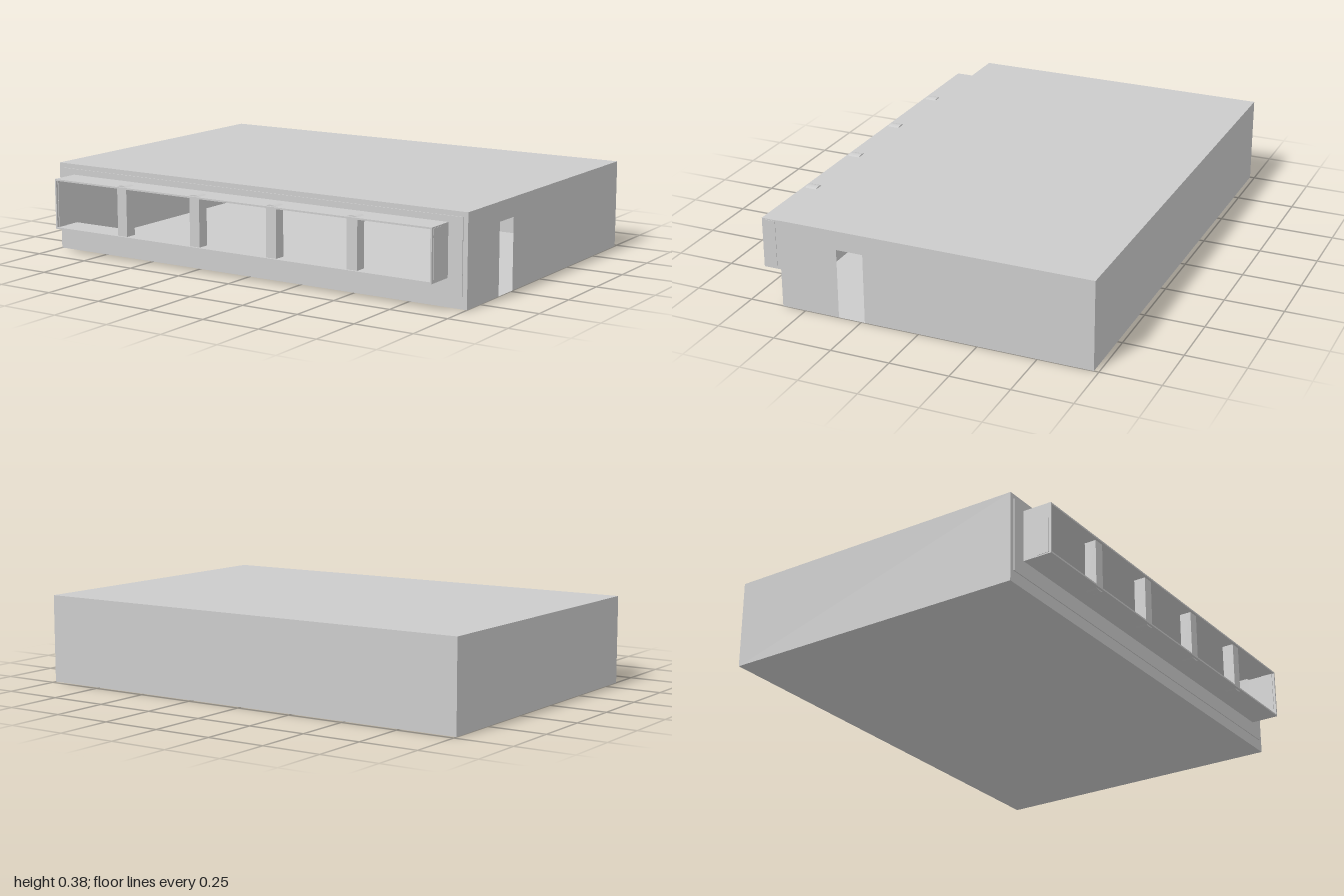
import * as THREE from 'three';

export function createModel() {
  const group = new THREE.Group();
  const mat = new THREE.MeshStandardMaterial({ color: 0xcccccc, side: THREE.DoubleSide, flatShading: true });
  const H = 0.375, ZB = -0.73, ZF = 0.603, D = ZF - ZB, ZC = (ZF + ZB) / 2;

  const add = (name, geo, x = 0, y = 0, z = 0) => {
    const m = new THREE.Mesh(geo, mat);
    m.name = name;
    m.position.set(x, y, z);
    group.add(m);
    return m;
  };
  const box = (name, w, h, d, x, y, z) => add(name, new THREE.BoxGeometry(w, h, d), x, y, z);
  const rect = (Type, x0, y0, x1, y1) => {
    const p = new Type();
    p.moveTo(x0, y0);
    p.lineTo(x1, y0);
    p.lineTo(x1, y1);
    p.lineTo(x0, y1);
    p.closePath();
    return p;
  };

  // Thin hollow shell
  add('floor', new THREE.PlaneGeometry(2, D).rotateX(Math.PI / 2), 0, 0, ZC);
  add('roof', new THREE.PlaneGeometry(2, D).rotateX(-Math.PI / 2), 0, H, ZC);
  add('backWall', new THREE.PlaneGeometry(2, H).rotateY(Math.PI), 0, H / 2, ZB);
  add('rightWall', new THREE.PlaneGeometry(D, H).rotateY(-Math.PI / 2), -1, H / 2, ZC);

  // Side wall with a doorway reaching the ground
  const doorWall = new THREE.Shape([
    [-ZF, 0], [-0.35, 0], [-0.35, 0.295], [-0.235, 0.295], [-0.235, 0], [-ZB, 0], [-ZB, H], [-ZF, H],
  ].map(([a, b]) => new THREE.Vector2(a, b)));
  add('doorWall', new THREE.ShapeGeometry(doorWall).rotateY(Math.PI / 2), 1, 0, 0);

  // Front wall, open behind the bay, with a thin facing panel
  const X = 0.918, Y0 = 0.115, Y1 = 0.33, Z1 = 0.73, T = 0.007;
  const front = rect(THREE.Shape, -1, 0, 1, H);
  front.holes.push(rect(THREE.Path, -X, Y0, X, Y1));
  add('frontWall', new THREE.ShapeGeometry(front), 0, 0, ZF);
  const panel = rect(THREE.Shape, -0.98, 0.05, 0.98, 0.355);
  panel.holes.push(rect(THREE.Path, -X, Y0, X, Y1));
  add('frontPanel', new THREE.ExtrudeGeometry(panel, { depth: 0.004, bevelEnabled: false }), 0, 0, ZF);

  // Projecting bay: sill, head and two cheeks
  const depth = Z1 - ZF, zc = (Z1 + ZF) / 2, yc = (Y0 + Y1) / 2;
  box('baySill', 2 * X, T, depth, 0, Y0 + T / 2, zc);
  box('bayHead', 2 * X, T, depth, 0, Y1 - T / 2, zc);
  for (const s of [-1, 1]) {
    box('bayCheek', T, Y1 - Y0, depth, s * (X - T / 2), yc, zc);
    box('bayEndPost', 0.012, Y1 - Y0 - 0.01, 0.05, s * (X - 0.004), yc, 0.695);
  }

  // Mullions with slightly arched ends
  const post = new THREE.Shape();
  post.moveTo(-0.024, Y0);
  post.quadraticCurveTo(0, Y0 - 0.012, 0.024, Y0);
  post.lineTo(0.024, Y1);
  post.quadraticCurveTo(0, Y1 + 0.012, -0.024, Y1);
  post.closePath();
  const postGeo = new THREE.ExtrudeGeometry(post, { depth: 0.05, bevelEnabled: false, curveSegments: 5 });
  for (let i = 0; i < 4; i++) add('mullion', postGeo, (i - 1.5) * 0.375, 0, 0.67);

  return group;
}
